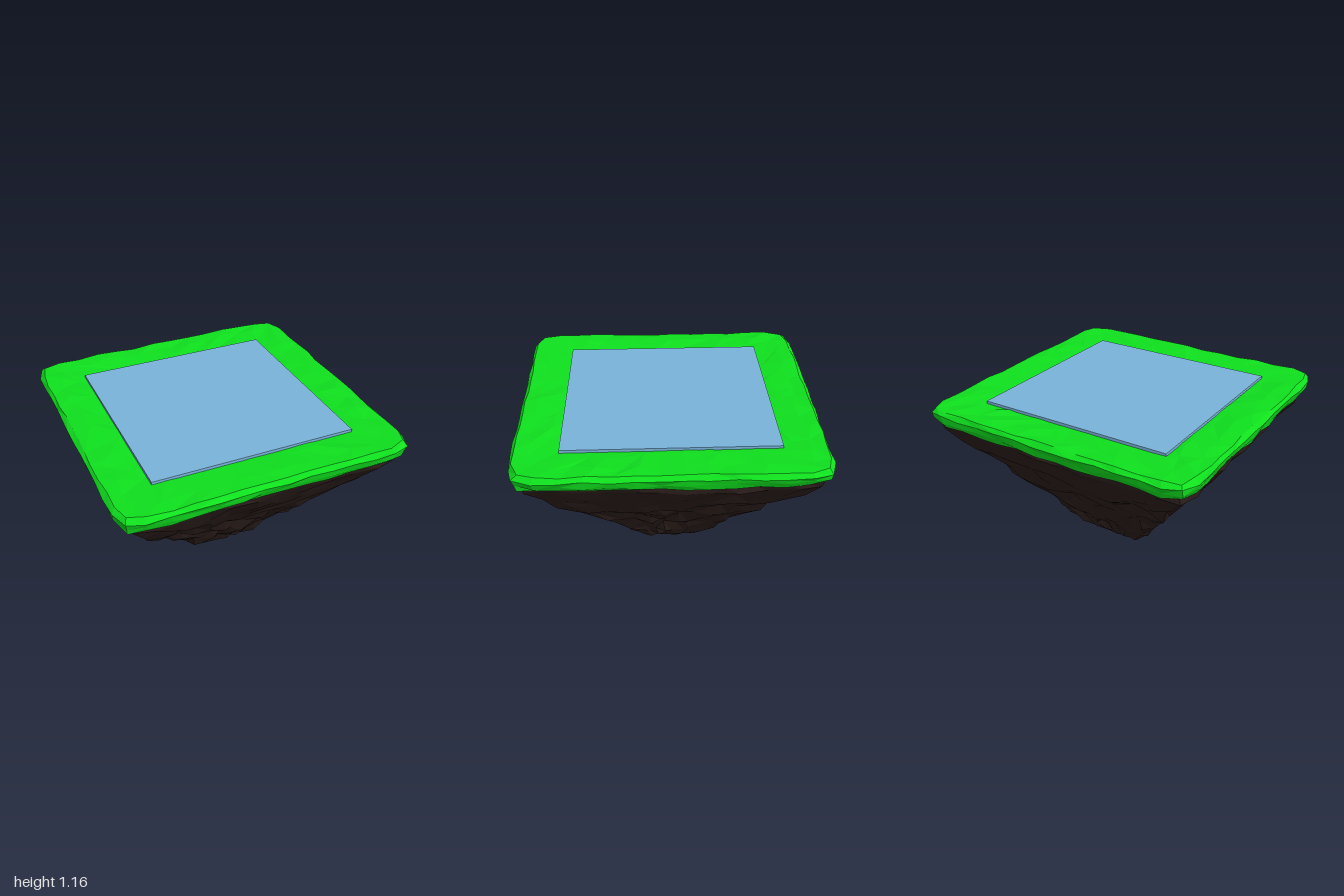
import * as THREE from 'three';

// Small seeded random generator returning -1..1
function makeRandom(seed) {
  return () => {
    seed = (seed * 1664525 + 1013904223) % 4294967296;
    return (seed / 4294967296) * 2 - 1;
  };
}

// Point k of a rounded square ring (half size s, corner radius r), n points per side
function squarePoint(k, n, s, r) {
  const t = (k % n) / n * 2 - 1;
  const [x, z] = [[s, t * s], [-t * s, s], [-s, -t * s], [t * s, -s]][Math.floor(k / n) % 4];
  const ix = THREE.MathUtils.clamp(x, r - s, s - r);
  const iz = THREE.MathUtils.clamp(z, r - s, s - r);
  const d = Math.hypot(x - ix, z - iz) || 1;
  const f = Math.min(1, r / d);
  return [ix + (x - ix) * f, iz + (z - iz) * f];
}

// Lofts rings listed from bottom to top: [halfSize, y, cornerRadius, sideJitter, heightJitter]
function roughLoft(rings, n, seed) {
  const rnd = makeRandom(seed);
  const count = n * 4;
  const points = rings.map(([s, y, r, side, height]) =>
    Array.from({ length: count }, (_, k) => {
      const [x, z] = squarePoint(k, n, s, r);
      return new THREE.Vector3(x + rnd() * side, y + rnd() * height, z + rnd() * side);
    }));
  const out = [];
  const tri = (...vs) => vs.forEach((v) => out.push(v.x, v.y, v.z));
  for (let i = 0; i < rings.length - 1; i++) {
    for (let k = 0; k < count; k++) {
      const j = (k + 1) % count;
      const a = points[i][k], b = points[i][j], c = points[i + 1][k], d = points[i + 1][j];
      if (rings[i][0] === 0) tri(a, c, d);
      else if (rings[i + 1][0] === 0) tri(a, c, b);
      else if (rnd() > 0) { tri(a, c, b); tri(b, c, d); }
      else { tri(a, c, d); tri(a, d, b); }
    }
  }
  const geo = new THREE.BufferGeometry();
  geo.setAttribute('position', new THREE.Float32BufferAttribute(out, 3));
  geo.computeVertexNormals();
  return geo;
}

function addPart(group, name, geometry, color) {
  const mesh = new THREE.Mesh(geometry, new THREE.MeshStandardMaterial({ color, flatShading: true }));
  mesh.name = name;
  group.add(mesh);
  return mesh;
}

export function createModel() {
  const group = new THREE.Group();
  group.name = 'floatingIsland';

  // Rocky underside, an upside-down rough pyramid with a blunt tip
  const rock = [
    [0, 0.01, 0, 0, 0],
    [0.07, 0.012, 0.03, 0.01, 0.01],
    [0.15, 0.03, 0.06, 0.012, 0.012],
    [0.215, 0.08, 0.07, 0.015, 0.015],
    [0.27, 0.15, 0.07, 0.02, 0.02],
    [0.33, 0.23, 0.07, 0.02, 0.025],
    [0.395, 0.32, 0.07, 0.022, 0.025],
    [0.46, 0.41, 0.07, 0.022, 0.025],
    [0.535, 0.5, 0.08, 0.022, 0.028],
    [0.61, 0.59, 0.08, 0.022, 0.028],
    [0.68, 0.68, 0.08, 0.022, 0.028],
    [0.765, 0.78, 0.08, 0.022, 0.028],
    [0.84, 0.88, 0.08, 0.02, 0.025],
    [0.93, 1.0, 0.07, 0.018, 0.018],
    [0.94, 1.06, 0.07, 0.012, 0.008],
    [0, 1.08, 0, 0, 0],
  ];
  addPart(group, 'rock', roughLoft(rock, 11, 7), 0x2b1e1b);

  // Grass cap with a ragged lower edge and rounded corners
  const grass = [
    [0, 1.07, 0, 0, 0],
    [0.93, 1.06, 0.1, 0.008, 0.006],
    [0.962, 1.05, 0.11, 0.008, 0.012],
    [0.98, 1.085, 0.12, 0.007, 0.012],
    [0.993, 1.13, 0.13, 0.007, 0.008],
    [0.968, 1.157, 0.13, 0.008, 0.006],
    [0.87, 1.157, 0.1, 0.03, 0.008],
    [0.74, 1.15, 0.05, 0.025, 0.006],
    [0.6, 1.14, 0.04, 0.02, 0.004],
    [0, 1.14, 0, 0, 0],
  ];
  addPart(group, 'grass', roughLoft(grass, 13, 23), 0x0fe01e);

  // Thin square sheet of water lying on the grass
  const water = addPart(group, 'water', new THREE.BoxGeometry(1.39, 0.02, 1.39), 0x7ab3da);
  water.position.y = 1.157;

  return group;
}
